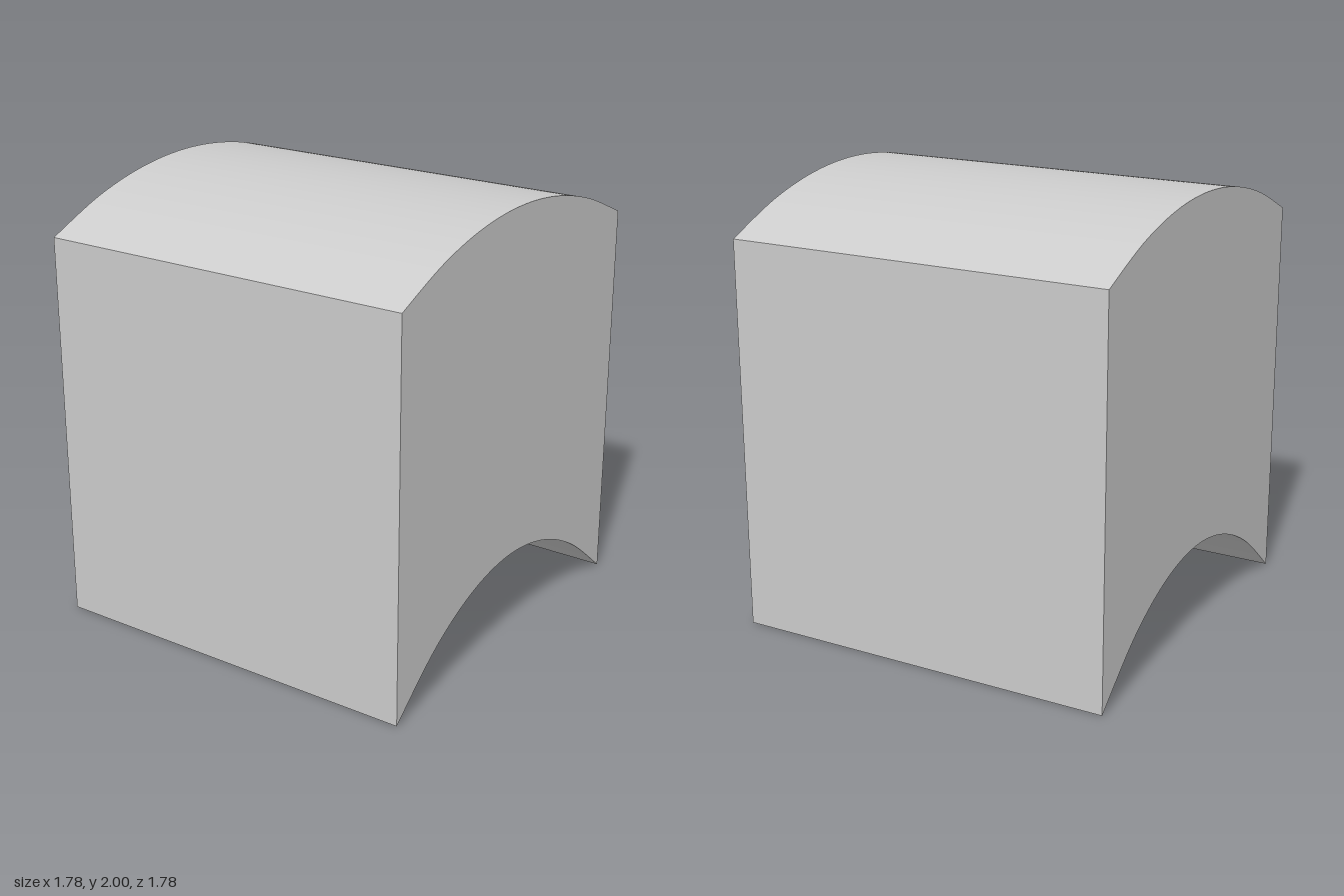
import * as THREE from 'three';
import { toCreasedNormals } from 'three/addons/utils/BufferGeometryUtils.js';

const HALF = 0.89; // half of width and depth

// Symmetric arch, sampled from -HALF to HALF, through a few points of a parabola
function archPoints(base, rise) {
  const knots = [];
  for (let i = -3; i <= 3; i++) {
    const u = i / 3;
    knots.push(new THREE.Vector2(u * HALF, base + rise * (1 - u * u)));
  }
  return new THREE.SplineCurve(knots).getPoints(60);
}

export function createModel() {
  const group = new THREE.Group();
  group.name = 'archedBlock';

  // Side outline: arched underside, straight walls, arched top
  const underside = archPoints(0, 0.415);
  const top = archPoints(1.78, 0.22).reverse();
  const outline = new THREE.Shape([...underside, ...top]);

  // Extrude across the width and turn so the arches run along x
  const solid = new THREE.ExtrudeGeometry(outline, { depth: 2 * HALF, bevelEnabled: false });
  solid.translate(0, 0, -HALF);
  solid.rotateY(Math.PI / 2);

  const block = new THREE.Mesh(
    toCreasedNormals(solid, Math.PI / 6),
    new THREE.MeshStandardMaterial({ color: 0xcccccc })
  );
  block.name = 'block';
  group.add(block);
  return group;
}
